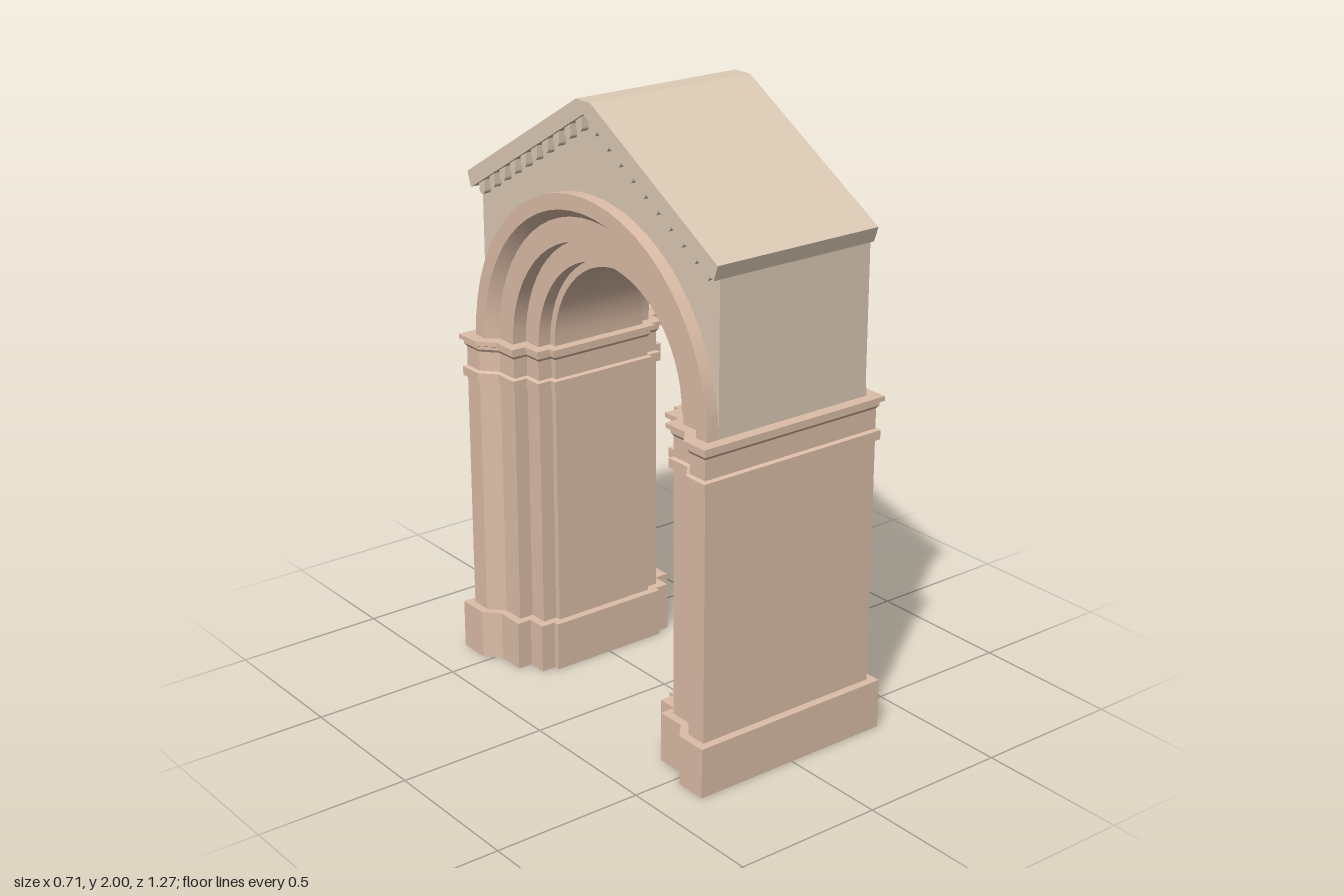
import * as THREE from 'three';
import { toCreasedNormals } from 'three/addons/utils/BufferGeometryUtils.js';

const STONE = 0xdcbda7, PLASTER = 0xdccab5;
const SPRING = 1.12; // height where the arch starts

function mesh(name, geometry, color) {
  const material = new THREE.MeshStandardMaterial({ color, side: THREE.DoubleSide });
  const m = new THREE.Mesh(geometry, material);
  m.name = name;
  return m;
}

// Stepped half plan [x, z] of a pier, mirrored to a full outline
const half = [[0.33, 0.61], [0.33, 0.54], [0.285, 0.49], [0.285, 0.41],
  [0.235, 0.41], [0.235, 0.345], [0.185, 0.345], [0.185, 0.325]];
const plan = [...half, ...half.map(([x, z]) => [-x, z]).reverse()]
  .map(([x, z]) => new THREE.Vector2(x, z));

// Mitred outward offset of the plan
function offsetPlan(o) {
  const n = plan.length;
  const normal = i => {
    const d = plan[(i + 1) % n].clone().sub(plan[i % n]).normalize();
    return new THREE.Vector2(-d.y, d.x);
  };
  return plan.map((p, i) => {
    const a = normal(i + n - 1), b = normal(i);
    return p.clone().addScaledVector(a.clone().add(b), o / (1 + a.dot(b)));
  });
}

// Moulding profile [y, projection]: plinth, shaft, necking band, cornice
const moulding = [[0, 0.027], [0.165, 0.027], [0.165, 0], [0.98, 0], [0.98, 0.011],
  [1.01, 0.011], [1.015, 0], [1.08, 0], [1.09, 0.007], [1.1, 0.007], [1.105, 0.018], [SPRING, 0.018]];

function pierGeometry() {
  const rings = moulding.map(([y, o]) => offsetPlan(o).map(p => [p.x, y, p.y]));
  const pos = [];
  for (let k = 0; k < rings.length - 1; k++) {
    const lo = rings[k], hi = rings[k + 1];
    for (let i = 0; i < lo.length; i++) {
      const j = (i + 1) % lo.length;
      pos.push(...lo[i], ...lo[j], ...hi[j], ...lo[i], ...hi[j], ...hi[i]);
    }
  }
  const g = new THREE.BufferGeometry();
  g.setAttribute('position', new THREE.Float32BufferAttribute(pos, 3));
  g.computeVertexNormals();
  return g;
}

function createPier() {
  const pier = new THREE.Group();
  pier.name = 'pier';
  pier.add(mesh('pierShaft', pierGeometry(), STONE));
  const top = new THREE.Shape(offsetPlan(0.018).map(p => new THREE.Vector2(p.x, -p.y)));
  const cap = mesh('pierTop', new THREE.ShapeGeometry(top).rotateX(-Math.PI / 2), STONE);
  cap.position.y = SPRING;
  pier.add(cap);
  return pier;
}

// Arch: stepped section [radius, x] turned half a circle about the x axis
function archGeometry() {
  const side = [[0.59, 0.307], [0.54, 0.307], [0.512, 0.27], [0.435, 0.27],
    [0.435, 0.22], [0.365, 0.22], [0.365, 0.175], [0.34, 0.175]];
  const section = [...side, ...side.map(([r, x]) => [r, -x]).reverse(), side[0]];
  const points = section.reverse().map(([r, x]) => new THREE.Vector2(r, x));
  const g = new THREE.LatheGeometry(points, 28, 0, Math.PI);
  g.rotateZ(Math.PI / 2).translate(0, SPRING, 0);
  return toCreasedNormals(g, 0.5);
}

// Extrude a z-y outline along x
function extrudeAlongX(shape, x0, x1, curveSegments = 28) {
  const g = new THREE.ExtrudeGeometry(shape, { depth: x1 - x0, bevelEnabled: false, curveSegments });
  return g.rotateY(Math.PI / 2).translate(x0, 0, 0);
}

const outline = pts => new THREE.Shape(pts.map(([z, y]) => new THREE.Vector2(z, y)));

export function createModel() {
  const model = new THREE.Group();
  model.name = 'archway';

  // Two piers facing each other
  for (const turn of [0, Math.PI]) {
    const pier = createPier();
    pier.rotation.y = turn;
    model.add(pier);
  }
  model.add(mesh('arch', archGeometry(), STONE));

  // Gabled wall with the arch cut from its lower edge
  const wall = outline([[0.56, SPRING], [0.59, SPRING], [0.59, 1.63], [0, 1.97],
    [-0.59, 1.63], [-0.59, SPRING], [-0.56, SPRING]]);
  wall.absarc(0, SPRING, 0.56, Math.PI, 0, true);
  model.add(mesh('gableWall', extrudeAlongX(wall, -0.265, 0.303), PLASTER));

  // Roof slab with a flat ridge, overhanging one gable and both eaves
  const roof = outline([[0.605, 1.607], [0.622, 1.655], [0.035, 2], [-0.035, 2],
    [-0.622, 1.655], [-0.605, 1.607], [-0.588, 1.615], [0, 1.96], [0.588, 1.615]]);
  model.add(mesh('roof', extrudeAlongX(roof, -0.3, 0.303), PLASTER));

  // Row of small round-bottomed corbels under the overhanging gable edge
  const corbel = outline([[0.015, 0.015], [0.015, -0.025]]);
  corbel.absarc(0, -0.025, 0.015, 0, -Math.PI, true);
  corbel.lineTo(-0.015, 0.015);
  const corbelGeometry = extrudeAlongX(corbel, -0.29, -0.26, 6);
  const corbels = new THREE.Group();
  corbels.name = 'corbels';
  for (let i = 0; i < 10; i++) {
    for (const s of [-1, 1]) {
      const z = 0.035 + i * 0.058;
      const c = mesh('corbel', corbelGeometry, PLASTER);
      c.position.set(0, 1.96 - z * 0.587, s * z);
      corbels.add(c);
    }
  }
  model.add(corbels);
  return model;
}
